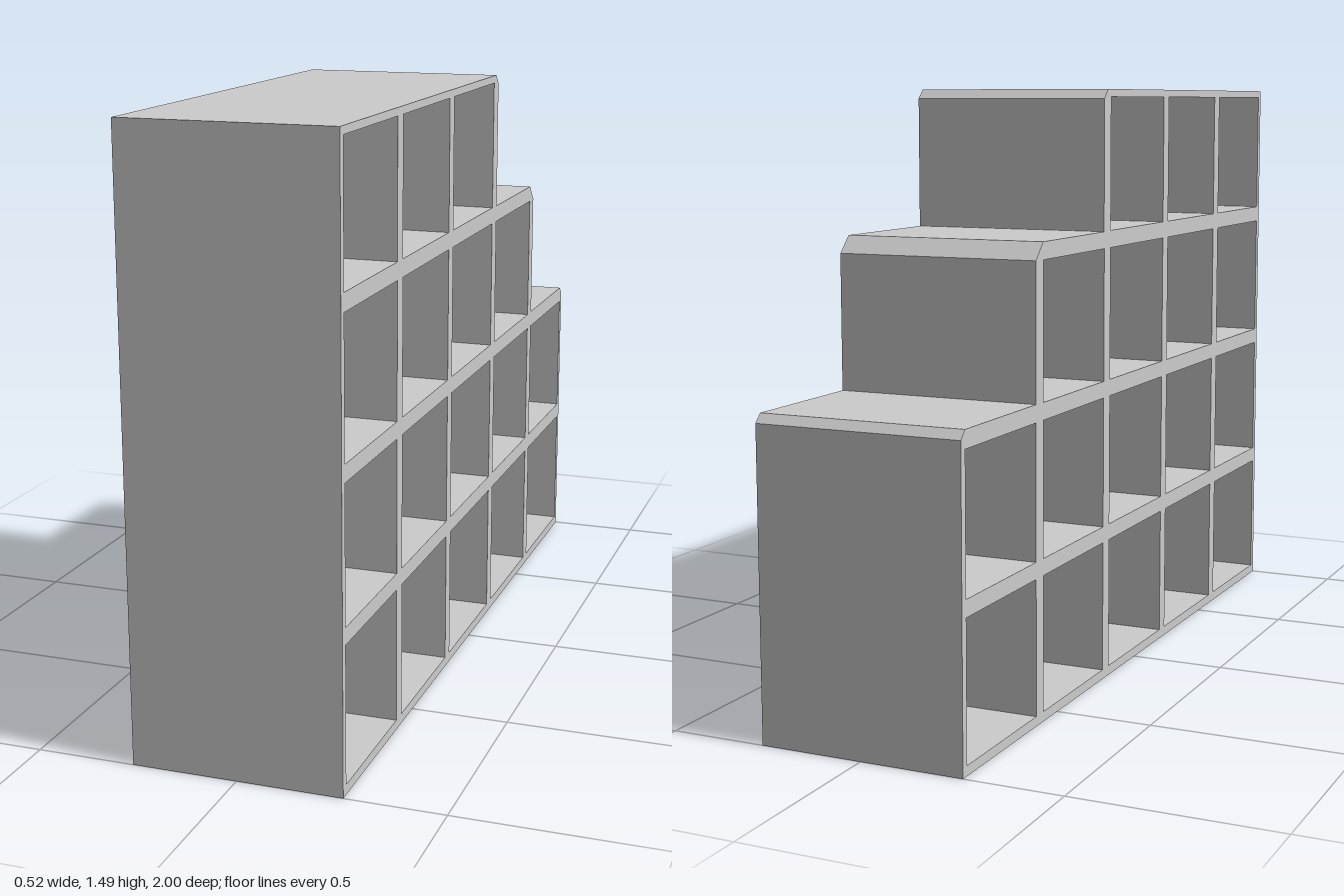
import * as THREE from 'three';

const WIDTH = 0.516;

// Cell openings: distance toward the back (-z) and height
const COLUMNS = [[-0.98, -0.625], [-0.585, -0.222], [-0.185, 0.178], [0.218, 0.58], [0.62, 0.98]];
const ROWS = [[0.024, 0.357], [0.398, 0.728], [0.77, 1.102], [1.145, 1.474]];
const CELLS_PER_ROW = [5, 5, 4, 3];

export function createModel() {
  const group = new THREE.Group();
  group.name = 'steppedShelf';
  const material = new THREE.MeshStandardMaterial({ color: 0xcccccc, flatShading: true });

  // Stepped side outline with a small chamfer on each step edge
  const outline = new THREE.Shape([
    [-1, 0], [1, 0],
    [1, 0.75], [0.98, 0.771],
    [0.62, 0.771], [0.62, 1.103], [0.58, 1.144],
    [0.22, 1.144], [0.22, 1.47], [0.198, 1.493],
    [-1, 1.493],
  ].map(([x, y]) => new THREE.Vector2(x, y)));

  // Square cells open from side to side
  ROWS.forEach(([y0, y1], row) => {
    COLUMNS.slice(0, CELLS_PER_ROW[row]).forEach(([x0, x1]) => {
      outline.holes.push(new THREE.Path([
        new THREE.Vector2(x0, y0), new THREE.Vector2(x0, y1),
        new THREE.Vector2(x1, y1), new THREE.Vector2(x1, y0),
      ]));
    });
  });

  // Extrude across the width, then turn the profile to run front to back
  const geometry = new THREE.ExtrudeGeometry(outline, { depth: WIDTH, bevelEnabled: false });
  geometry.translate(0, 0, -WIDTH / 2);
  geometry.rotateY(Math.PI / 2);

  const frame = new THREE.Mesh(geometry, material);
  frame.name = 'shelfFrame';
  group.add(frame);
  return group;
}
